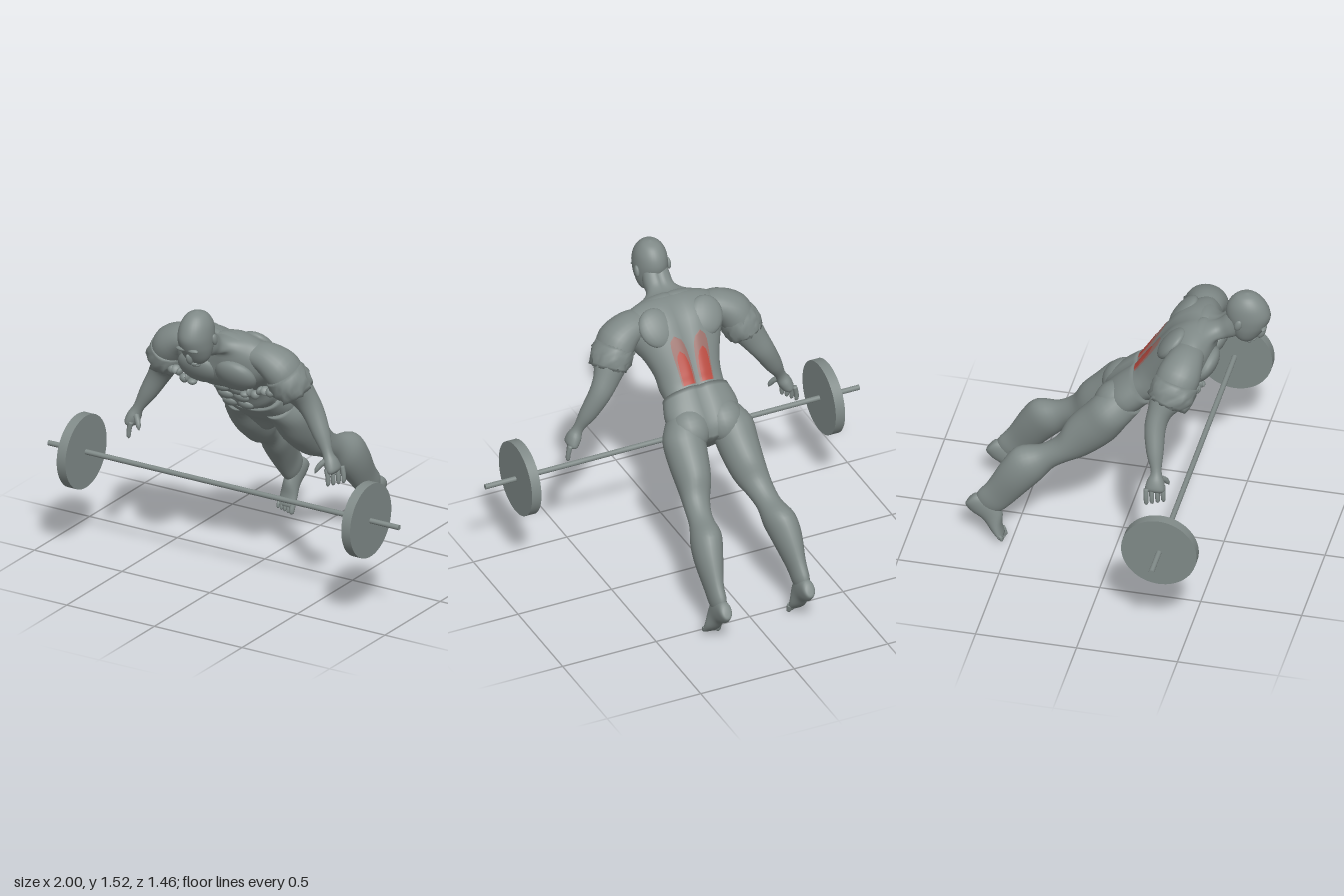
import * as THREE from 'three';

const material = (name, color) => Object.assign(new THREE.MeshStandardMaterial({ color }), { name });

// Smooth interpolation through rows of numbers, t from 0 to 1
function sample(rows, t) {
  const n = rows.length - 1, f = Math.min(Math.max(t, 0), 1) * n;
  const i = Math.min(Math.floor(f), n - 1), u = f - i;
  const at = (j) => rows[Math.min(Math.max(j, 0), n)];
  return rows[0].map((_, k) => {
    const a = at(i - 1)[k], b = at(i)[k], c = at(i + 1)[k], d = at(i + 2)[k];
    return 0.5 * (2 * b + (c - a) * u + (2 * a - 5 * b + 4 * c - d) * u * u + (3 * b - a - 3 * c + d) * u * u * u);
  });
}

// Sections are [centre, side vector, front vector]; optional midline grooves and ragged edge
function surfacePoint(rows, t, a, { n = 2, front = 0, back = 0, ragged = 0 } = {}) {
  const r = sample(rows, t), p = (v) => Math.sign(v) * Math.abs(v) ** (2 / n);
  let cu = p(Math.cos(a)), sv = p(Math.sin(a));
  sv *= 1 - (sv < 0 ? back : front) * Math.exp(-((cu / 0.16) ** 2));
  const h = Math.sin(a * 37.1 + t * 91.7) * 437.5;
  const k = 1 + ragged * t * (h - Math.floor(h) - 0.4);
  return new THREE.Vector3(...[0, 1, 2].map((j) => r[j] + k * (r[3 + j] * cu + r[6 + j] * sv)));
}

function loft(rows, opts = {}) {
  const seg = opts.seg || 28, steps = (rows.length - 1) * (opts.sub || 4), pos = [], index = [];
  for (let i = 0; i <= steps; i++)
    for (let j = 0; j < seg; j++) pos.push(...surfacePoint(rows, i / steps, (j / seg) * Math.PI * 2, opts).toArray());
  for (let i = 0; i < steps; i++)
    for (let j = 0; j < seg; j++) {
      const a = i * seg + j, b = i * seg + ((j + 1) % seg), c = a + seg, d = b + seg;
      index.push(a, b, c, b, d, c);
    }
  const end = steps * seg, c0 = pos.length / 3;
  pos.push(...rows[0].slice(0, 3), ...rows[rows.length - 1].slice(0, 3));
  for (let j = 0; j < seg; j++) {
    const k = (j + 1) % seg;
    index.push(c0, k, j, c0 + 1, end + j, end + k);
  }
  // Turn the faces outward whichever way the sections run
  let volume = 0;
  const v = (i) => new THREE.Vector3(pos[3 * i], pos[3 * i + 1], pos[3 * i + 2]);
  for (let i = 0; i < index.length; i += 3) volume += v(index[i]).dot(v(index[i + 1]).cross(v(index[i + 2])));
  if (volume < 0) index.reverse();
  const g = new THREE.BufferGeometry();
  g.setAttribute('position', new THREE.Float32BufferAttribute(pos, 3));
  g.setIndex(index);
  g.computeVertexNormals();
  return g;
}

// Rows of [front z, front y, back z, back y, half width, centre x]
const slices = (rows, s = 1) => rows.map(([fz, fy, bz, by, w, x = 0]) =>
  [x * s, (fy + by) / 2, (fz + bz) / 2, w, 0, 0, 0, (fy - by) / 2, (fz - bz) / 2]);

// Rows of [x, y, z, radius, depth radius] along a limb
function limb(rows, s = 1) {
  const pts = rows.map((r) => new THREE.Vector3(r[0] * s, r[1], r[2]));
  return rows.map((r, i) => {
    const t = pts[Math.min(i + 1, pts.length - 1)].clone().sub(pts[Math.max(i - 1, 0)]).normalize();
    const u = t.clone().cross(new THREE.Vector3(0, 0, 1)).normalize(), v = u.clone().cross(t);
    return [...pts[i].toArray(), ...u.multiplyScalar(r[3]).toArray(), ...v.multiplyScalar(r[4] ?? r[3]).toArray()];
  });
}

export function createModel() {
  const grey = material('grey', 0x808a88);
  const red = material('muscle red', 0xb84a3f);
  const faded = material('faded red', 0x9a6f69);
  red.side = faded.side = THREE.DoubleSide;
  const model = new THREE.Group();
  const add = (name, geometry, mat = grey) => {
    const m = new THREE.Mesh(geometry, mat);
    m.name = name;
    model.add(m);
    return m;
  };
  const blob = (name, [x, y, z], scale, tilt = 0, roll = 0) => {
    const m = add(name, new THREE.SphereGeometry(1, 20, 14));
    m.position.set(x, y, z);
    m.scale.set(...scale);
    m.rotation.set(tilt, 0, roll);
  };

  // Torso and neck
  const torso = slices([
    [0.12, 0.8, 0, 0.96, 0.15], [0.165, 0.857, 0.065, 1.015, 0.155], [0.235, 0.88, 0.095, 1.06, 0.16],
    [0.28, 0.95, 0.125, 1.106, 0.168], [0.335, 1.01, 0.185, 1.2, 0.2], [0.41, 1.05, 0.245, 1.28, 0.245],
    [0.455, 1.12, 0.31, 1.325, 0.26], [0.47, 1.2, 0.37, 1.34, 0.22], [0.48, 1.25, 0.43, 1.335, 0.12],
    [0.525, 1.255, 0.475, 1.35, 0.075], [0.57, 1.27, 0.515, 1.39, 0.07], [0.6, 1.31, 0.55, 1.43, 0.065],
  ]);
  const torsoShape = { n: 2.3, seg: 64, front: 0.06, back: 0.1 };
  add('torso', loft(torso, torsoShape));

  // Shorts with a raised waist edge
  add('shorts', loft(slices([
    [0, 0.68, -0.1, 0.8, 0.06], [0.04, 0.735, -0.09, 0.87, 0.15],
    [0.1, 0.785, -0.03, 0.945, 0.19], [0.17, 0.848, 0.056, 1.022, 0.17],
  ]), { n: 2.2, seg: 48, back: 0.14 }));

  // Head, sliced from crown to chin
  add('head', loft(slices([
    [0.62, 1.517, 0.61, 1.517, 0.004], [0.665, 1.503, 0.56, 1.5, 0.045], [0.707, 1.46, 0.525, 1.46, 0.073],
    [0.73, 1.4, 0.511, 1.41, 0.083], [0.718, 1.35, 0.52, 1.36, 0.082], [0.695, 1.31, 0.532, 1.33, 0.077],
    [0.67, 1.275, 0.545, 1.295, 0.066], [0.645, 1.25, 0.555, 1.275, 0.05], [0.615, 1.235, 0.57, 1.265, 0.025],
  ]), { seg: 32 }));
  blob('nose', [0, 1.288, 0.685], [0.014, 0.034, 0.017], 0.5);
  blob('lips', [0, 1.255, 0.65], [0.024, 0.01, 0.012], 0.6);
  blob('chin', [0, 1.244, 0.622], [0.026, 0.014, 0.02], 0.6);

  // Coloured lower back muscles, laid on the torso surface
  const patch = (s, t0, t1, mid, half, lift) => {
    const N = 14, pos = [], index = [];
    for (let i = 0; i <= N; i++)
      for (let j = 0; j <= N; j++) {
        const q = i / N, k = (j / N) * 2 - 1;
        const w = half * Math.sqrt(Math.max(0, 1 - q ** 6));
        const p = surfacePoint(torso, (t0 + (t1 - t0) * q) / 11, -Math.PI / 2 + s * (mid + w * k), torsoShape);
        pos.push(p.x, p.y + 0.81 * lift, p.z - 0.59 * lift);
        if (i < N && j < N) {
          const a = i * (N + 1) + j, b = a + 1, c = a + N + 1, d = c + 1;
          index.push(...(s > 0 ? [a, b, c, b, d, c] : [a, c, b, b, c, d]));
        }
      }
    const g = new THREE.BufferGeometry();
    g.setAttribute('position', new THREE.Float32BufferAttribute(pos, 3));
    g.setIndex(index);
    g.computeVertexNormals();
    return g;
  };

  for (const s of [1, -1]) {
    const side = s > 0 ? 'left' : 'right';
    add(side + 'FadedBackMuscle', patch(s, 1.1, 4.3, 0.28, 0.23, 0.003), faded);
    add(side + 'LowerBackMuscle', patch(s, 1.1, 3.6, 0.28, 0.18, 0.006), red);

    // Face and trunk muscles
    blob(side + 'Ear', [s * 0.084, 1.375, 0.588], [0.012, 0.03, 0.018], 0.3);
    blob(side + 'Brow', [s * 0.032, 1.343, 0.705], [0.03, 0.01, 0.013], 0.3);
    blob(side + 'Pectoral', [s * 0.105, 1.135, 0.43], [0.112, 0.1, 0.052], 0.6, s * 0.2);
    blob(side + 'Trapezius', [s * 0.1, 1.285, 0.4], [0.13, 0.045, 0.06], 0.4, -s * 0.25);
    blob(side + 'ShoulderBlade', [s * 0.13, 1.25, 0.27], [0.09, 0.1, 0.04], 0.68, -s * 0.3);
    blob(side + 'Glute', [s * 0.09, 0.835, -0.025], [0.098, 0.11, 0.09], 0.68);
    for (let i = 0; i < 3; i++)
      blob(side + 'Abdominal', [s * 0.045, 0.905 + i * 0.052, 0.243 + i * 0.04], [0.042, 0.031, 0.02], 0.68);

    // Leg
    add(side + 'Leg', loft(slices([
      [0.11, 0.8, -0.01, 0.93, 0.08, 0.1], [0.055, 0.735, -0.1, 0.87, 0.105, 0.128],
      [-0.016, 0.635, -0.165, 0.8, 0.1, 0.135], [-0.137, 0.535, -0.24, 0.715, 0.085, 0.145],
      [-0.237, 0.49, -0.29, 0.622, 0.067, 0.167], [-0.3, 0.452, -0.375, 0.562, 0.061, 0.182],
      [-0.355, 0.385, -0.485, 0.54, 0.077, 0.196], [-0.42, 0.315, -0.55, 0.462, 0.069, 0.21],
      [-0.5, 0.225, -0.62, 0.334, 0.044, 0.22], [-0.55, 0.175, -0.67, 0.265, 0.037, 0.222],
      [-0.59, 0.15, -0.68, 0.21, 0.025, 0.222],
    ], s)));

    // Foot and toes
    add(side + 'Foot', loft(slices([
      [-0.71, 0.225, -0.726, 0.2, 0.012, 0.222], [-0.67, 0.255, -0.728, 0.183, 0.03, 0.222],
      [-0.59, 0.235, -0.7, 0.15, 0.036, 0.222], [-0.548, 0.165, -0.645, 0.117, 0.038, 0.223],
      [-0.548, 0.095, -0.6, 0.062, 0.046, 0.226], [-0.537, 0.038, -0.562, 0.025, 0.047, 0.228],
    ], s)));
    for (let i = 0; i < 5; i++) {
      const x = 0.19 + i * 0.019, y = 0.002 + i * 0.004, r = i ? 0.009 : 0.014;
      add(side + 'Toe', loft(limb([
        [x, 0.05, -0.555, r], [x, y + 0.022, -0.545, r], [x, y + 0.006, -0.541, r * 0.8], [x, y, -0.54, 0.001],
      ], s), { seg: 10 }));
    }

    // Shoulder, arm and palm
    add(side + 'Arm', loft(limb([
      [0.13, 1.25, 0.37, 0.05, 0.07], [0.23, 1.235, 0.36, 0.075, 0.09], [0.305, 1.19, 0.345, 0.092, 0.106],
      [0.35, 1.11, 0.315, 0.085, 0.098], [0.395, 1.035, 0.275, 0.068, 0.062], [0.44, 0.96, 0.26, 0.056, 0.052],
      [0.495, 0.86, 0.272, 0.044, 0.042], [0.538, 0.78, 0.288, 0.027, 0.026], [0.56, 0.735, 0.29, 0.034, 0.042],
      [0.578, 0.698, 0.29, 0.03, 0.048], [0.585, 0.685, 0.29, 0.012, 0.03],
    ], s)));

    // Torn sleeve edge and crumpled cloth towards the chest
    add(side + 'TornSleeve', loft(limb([
      [0.32, 1.17, 0.34, 0.09, 0.106], [0.345, 1.12, 0.325, 0.098, 0.112], [0.37, 1.065, 0.305, 0.082, 0.094],
    ], s), { seg: 30, sub: 3, ragged: 0.3 }));
    for (let i = 0; i < 9; i++)
      blob(side + 'ClothCrumple', [s * (0.15 + i * 0.026), 1.045 + 0.012 * Math.sin(i * 2.3) + 0.008 * i, 0.418 - i * 0.004],
        [0.024, 0.016 + 0.006 * Math.sin(i * 4.1), 0.024], i, i * 1.7);

    // Fingers and thumb
    for (let i = 0; i < 4; i++) {
      const x = 0.557 + i * 0.014, z = 0.327 - i * 0.025;
      add(side + 'Finger', loft(limb([
        [x, 0.71, z, 0.012], [x + 0.01, 0.67, z + 0.002, 0.012], [x + 0.012, 0.635, z + 0.004, 0.01],
        [x + 0.01, 0.624, z + 0.005, 0.001],
      ], s), { seg: 10 }));
    }
    add(side + 'Thumb', loft(limb([
      [0.55, 0.75, 0.3, 0.016], [0.522, 0.725, 0.325, 0.014], [0.508, 0.7, 0.338, 0.011], [0.502, 0.682, 0.344, 0.001],
    ], s), { seg: 10 }));

    // Barbell plate
    const plate = add(side + 'WeightPlate', new THREE.CylinderGeometry(0.187, 0.187, 0.05, 64));
    plate.rotation.z = Math.PI / 2;
    plate.position.set(s * 0.812, 0.518, 0.37);
  }

  // Barbell bar
  const bar = add('bar', new THREE.CylinderGeometry(0.013, 0.013, 2, 24));
  bar.rotation.z = Math.PI / 2;
  bar.position.set(0, 0.518, 0.37);
  return model;
}
